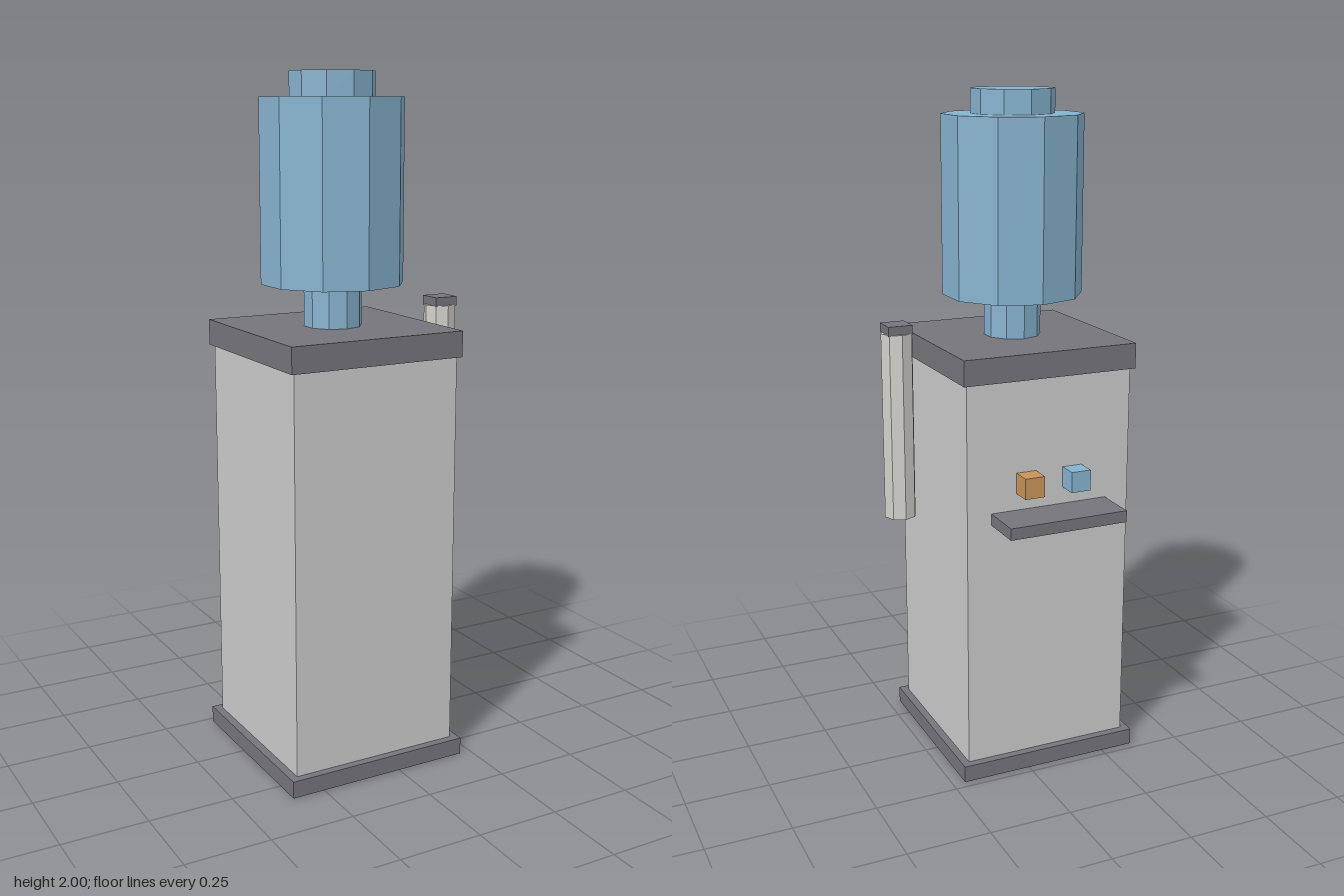
import * as THREE from 'three';

const material = (color) => new THREE.MeshStandardMaterial({ color, flatShading: true });

export function createModel() {
  const model = new THREE.Group();
  model.name = 'waterCooler';
  const casing = material(0xcccccc);
  const trim = material(0x75757b);
  const blue = material(0x87b3cf);
  const orange = material(0xc9945a);
  const cups = material(0xd3d1ca);

  const add = (name, geometry, mat, x, y, z) => {
    const mesh = new THREE.Mesh(geometry, mat);
    mesh.name = name;
    mesh.position.set(x, y, z);
    model.add(mesh);
  };
  // Box given by its [min, max] range on each axis
  const box = (name, mat, [x0, x1], [y0, y1], [z0, z1]) =>
    add(name, new THREE.BoxGeometry(x1 - x0, y1 - y0, z1 - z0), mat,
      (x0 + x1) / 2, (y0 + y1) / 2, (z0 + z1) / 2);
  // Upright prism between two heights
  const prism = (name, mat, radius, sides, [y0, y1], x, z) =>
    add(name, new THREE.CylinderGeometry(radius, radius, y1 - y0, sides), mat, x, (y0 + y1) / 2, z);

  // Cabinet with its base and top slabs
  box('cabinet', casing, [-0.326, 0.19], [0, 1.22], [-0.204, 0.312]);
  box('base', trim, [-0.35, 0.213], [0.002, 0.052], [-0.228, 0.336]);
  box('topSlab', trim, [-0.338, 0.201], [1.215, 1.29], [-0.215, 0.324]);

  // Inverted ten-sided water bottle
  const cx = -0.068, cz = 0.054;
  prism('bottleNeck', blue, 0.084, 10, [1.28, 1.415], cx, cz);
  prism('bottle', blue, 0.207, 10, [1.412, 1.93], cx, cz);
  prism('bottleEnd', blue, 0.122, 10, [1.92, 2], cx, cz);

  // Drip shelf and the two taps on the back
  box('dripShelf', trim, [-0.252, 0.115], [0.795, 0.83], [-0.338, -0.19]);
  box('coldTap', blue, [-0.172, -0.111], [0.88, 0.942], [-0.264, -0.195]);
  box('hotTap', orange, [-0.025, 0.036], [0.88, 0.942], [-0.264, -0.195]);

  // Cup dispenser tube beside the cabinet
  prism('cupTube', cups, 0.048, 8, [0.77, 1.325], 0.298, 0.053);
  box('cupTubeLid', trim, [0.262, 0.335], [1.322, 1.35], [0.017, 0.089]);

  return model;
}
